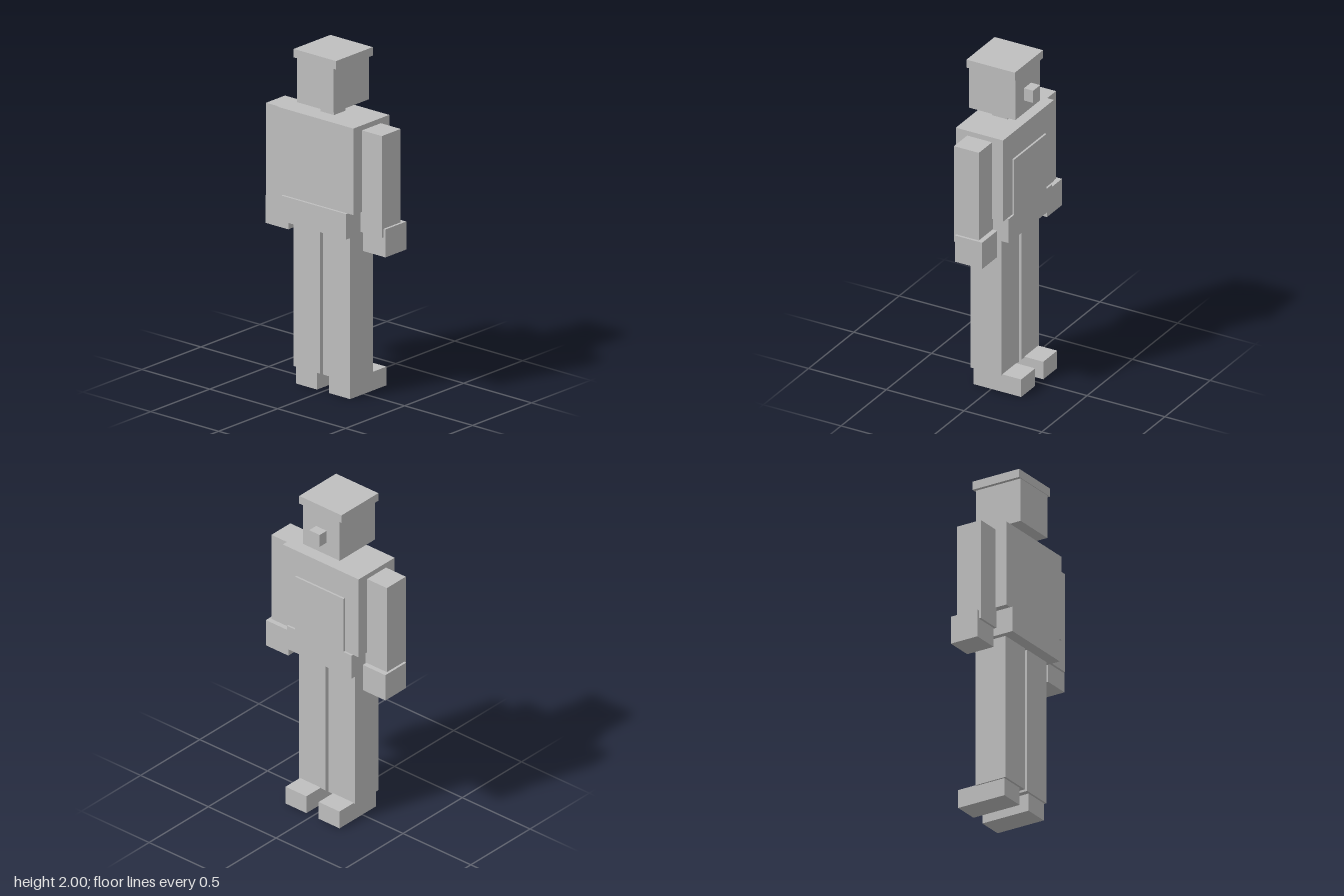
import * as THREE from 'three';

export function createModel() {
  const model = new THREE.Group();
  model.name = 'blockFigure';
  const grey = new THREE.MeshStandardMaterial({ color: 0xbfbfbf });
  grey.name = 'plain grey';

  // Box given by its extents along each axis
  function block(name, [x0, x1], [y0, y1], [z0, z1]) {
    const mesh = new THREE.Mesh(new THREE.BoxGeometry(x1 - x0, y1 - y0, z1 - z0), grey);
    mesh.position.set((x0 + x1) / 2, (y0 + y1) / 2, (z0 + z1) / 2);
    mesh.name = name;
    model.add(mesh);
  }

  // Block centred on z = 0
  const centred = (name, x, y, halfZ) => block(name, x, y, [-halfZ, halfZ]);

  // Matching blocks on both sides, mirrored in z
  function pair(name, x, y, [inner, outer]) {
    block(name + 'A', x, y, [inner, outer]);
    block(name + 'B', x, y, [-outer, -inner]);
  }

  // Head, looking along +x
  centred('cap', [-0.185, 0.126], [1.95, 2.0], 0.156);
  centred('head', [-0.181, 0.117], [1.69, 1.95], 0.135);
  centred('nose', [0.117, 0.176], [1.77, 1.847], 0.039);
  centred('neck', [-0.081, 0.018], [1.63, 1.69], 0.05);

  // Body with a raised panel that is flush with the hips
  centred('torso', [-0.181, 0.123], [1.12, 1.63], 0.28);
  centred('chestPanel', [0.123, 0.135], [1.12, 1.466], 0.178);
  centred('hips', [-0.195, 0.135], [0.97, 1.12], 0.239);

  // Limbs
  pair('arm', [-0.108, 0.052], [1.0, 1.6], [0.27, 0.426]);
  pair('hand', [-0.094, 0.082], [0.885, 1.05], [0.275, 0.441]);
  pair('leg', [-0.128, 0.07], [0.105, 0.97], [0.012, 0.208]);
  pair('foot', [-0.115, 0.192], [0, 0.11], [0.045, 0.199]);

  return model;
}
